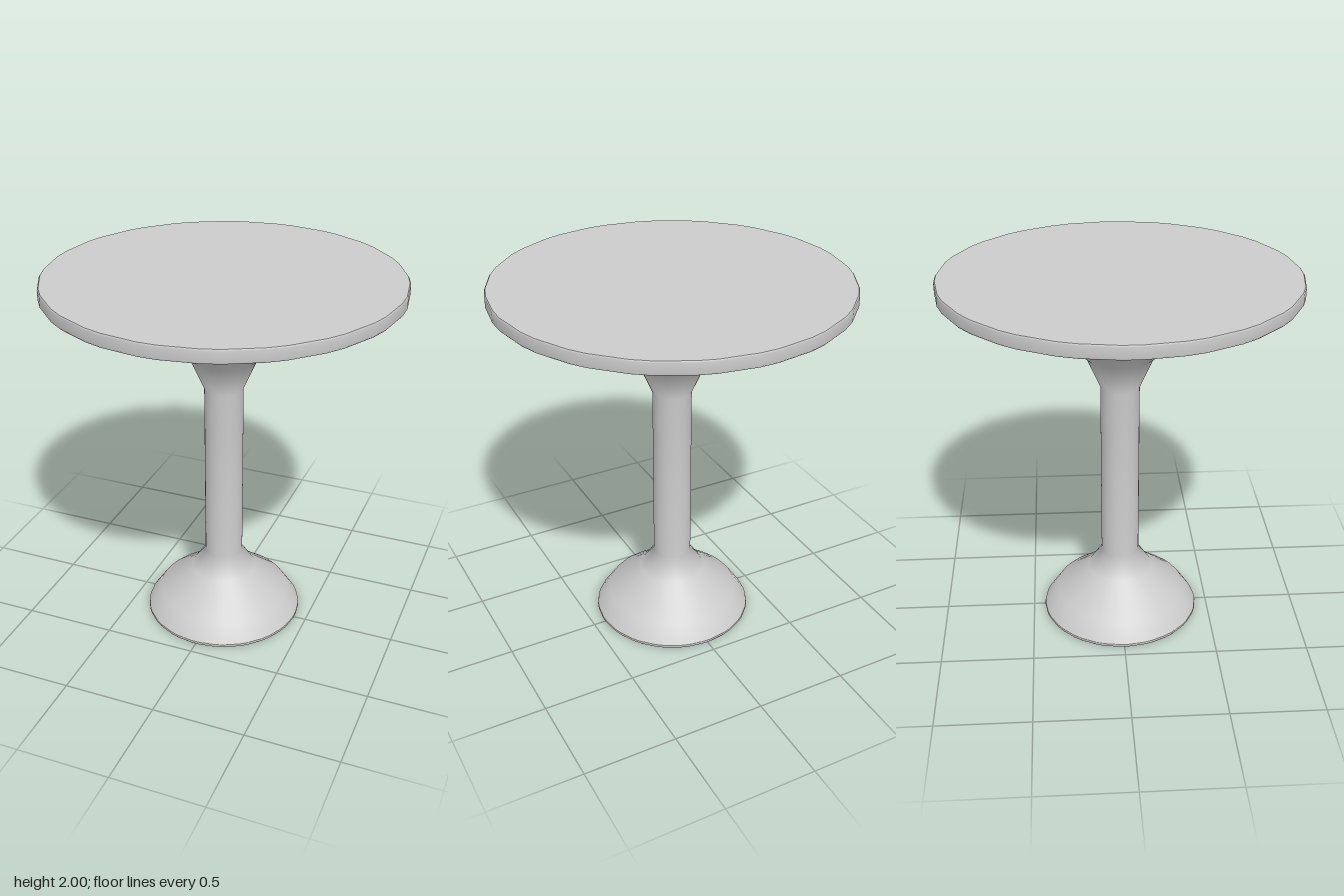
import * as THREE from 'three';

const SEGMENTS = 40;
const UP = new THREE.Vector3(0, 1, 0);
const material = new THREE.MeshStandardMaterial({ color: 0xcccccc });

// Turned part whose outline is a 20-sided polygon with clipped corners:
// vertices come in pairs, 3 degrees either side of every 18 degree step.
function turned(name, profile) {
  const points = profile.map(([r, y]) => new THREE.Vector2(r, y));
  const geometry = new THREE.LatheGeometry(points, SEGMENTS);
  const { position, normal } = geometry.attributes;
  const v = new THREE.Vector3();
  for (let i = 0; i < position.count; i++) {
    const column = Math.floor(i / points.length);
    const shift = THREE.MathUtils.degToRad(column % 2 ? -6 : -3);
    for (const attribute of [position, normal]) {
      v.fromBufferAttribute(attribute, i).applyAxisAngle(UP, shift);
      attribute.setXYZ(i, v.x, v.y, v.z);
    }
  }
  const mesh = new THREE.Mesh(geometry, material);
  mesh.name = name;
  return mesh;
}

export function createModel() {
  const table = new THREE.Group();
  table.name = 'pedestalTable';

  // Foot: flat underside and thin edge
  table.add(turned('footUnderside', [[0, 0], [0.43, 0]]));
  table.add(turned('footEdge', [[0.43, 0], [0.436, 0.008], [0.434, 0.018]]));

  // Pedestal: foot, column and flared support in one smooth sweep
  table.add(turned('pedestal', [
    [0.434, 0.018], [0.365, 0.12], [0.18, 0.265], [0.104, 0.38],
    [0.104, 1.385], [0.18, 1.56], [0.36, 1.72], [0.63, 1.85], [0.918, 1.93],
  ]));

  // Tabletop: softened rim and flat surface
  table.add(turned('tabletopRim', [
    [0.918, 1.93], [0.925, 1.938], [0.925, 1.992], [0.919, 2],
  ]));
  table.add(turned('tabletopSurface', [[0.919, 2], [0, 2]]));

  return table;
}
